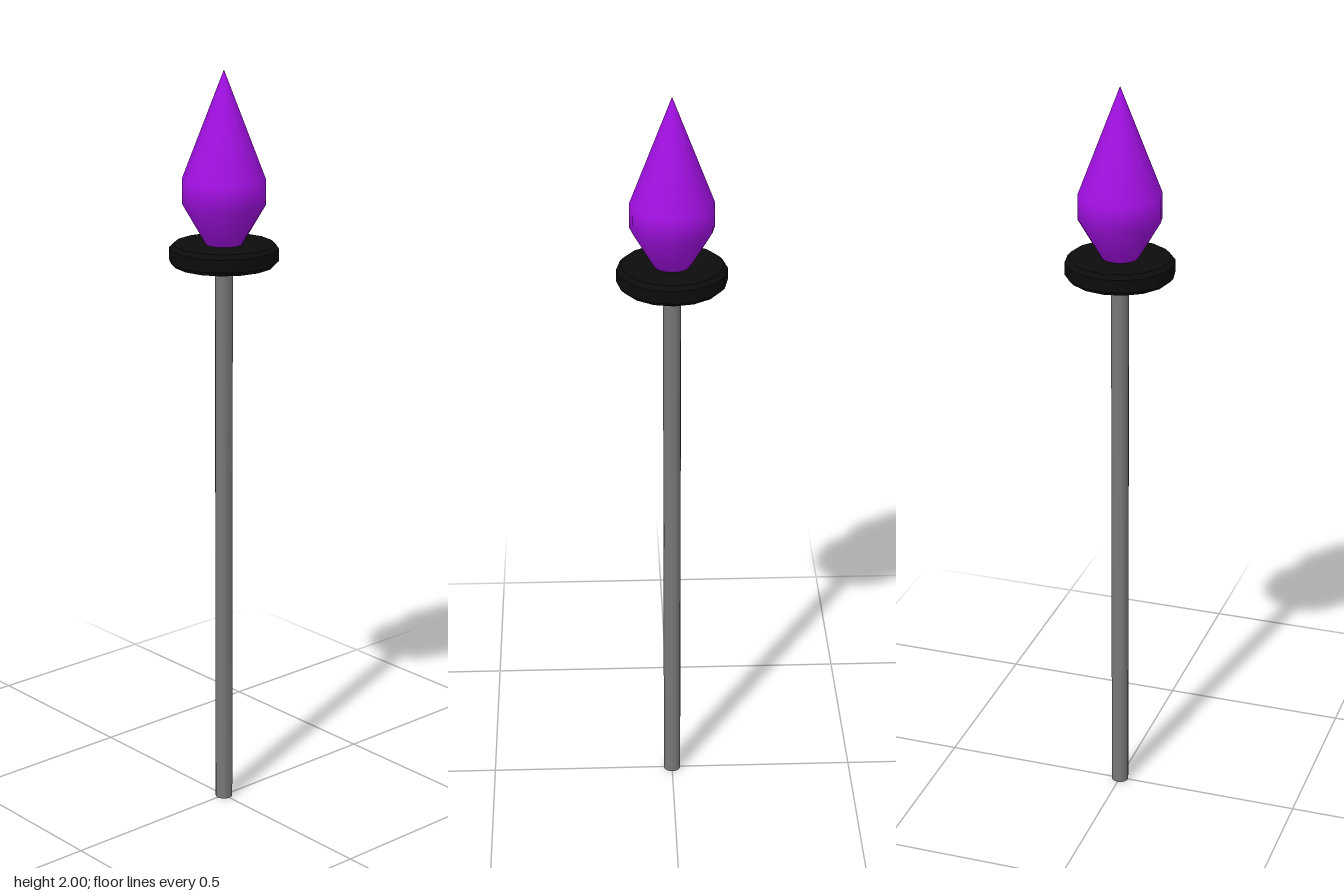
import * as THREE from 'three';
import { toCreasedNormals } from 'three/addons/utils/BufferGeometryUtils.js';

const SIDES = 16;

// Turned part from [radius, height] pairs, listed bottom to top
function turned(name, profile, color, crease) {
  const points = profile.map(([r, y]) => new THREE.Vector2(r, y));
  let geometry = new THREE.LatheGeometry(points, SIDES);
  if (crease) geometry = toCreasedNormals(geometry, crease);
  const mesh = new THREE.Mesh(geometry, new THREE.MeshStandardMaterial({ color }));
  mesh.name = name;
  return mesh;
}

export function createModel() {
  const group = new THREE.Group();
  group.name = 'torch';

  // Slim pole, capped at both ends
  group.add(turned('shaft', [[0, 0], [0.023, 0], [0.023, 1.51], [0, 1.51]], 0x777777, 0.7));

  // Flat disc with bevelled rims
  group.add(turned('collar', [
    [0, 1.5], [0.13, 1.5], [0.141, 1.511], [0.141, 1.544], [0.13, 1.555], [0, 1.555],
  ], 0x0c0c0c, 0.5));

  // Pointed flame, smooth shaded
  group.add(turned('flame', [
    [0, 1.54], [0.039, 1.54], [0.107, 1.657], [0.107, 1.723], [0, 2],
  ], 0xa010e0));

  return group;
}
